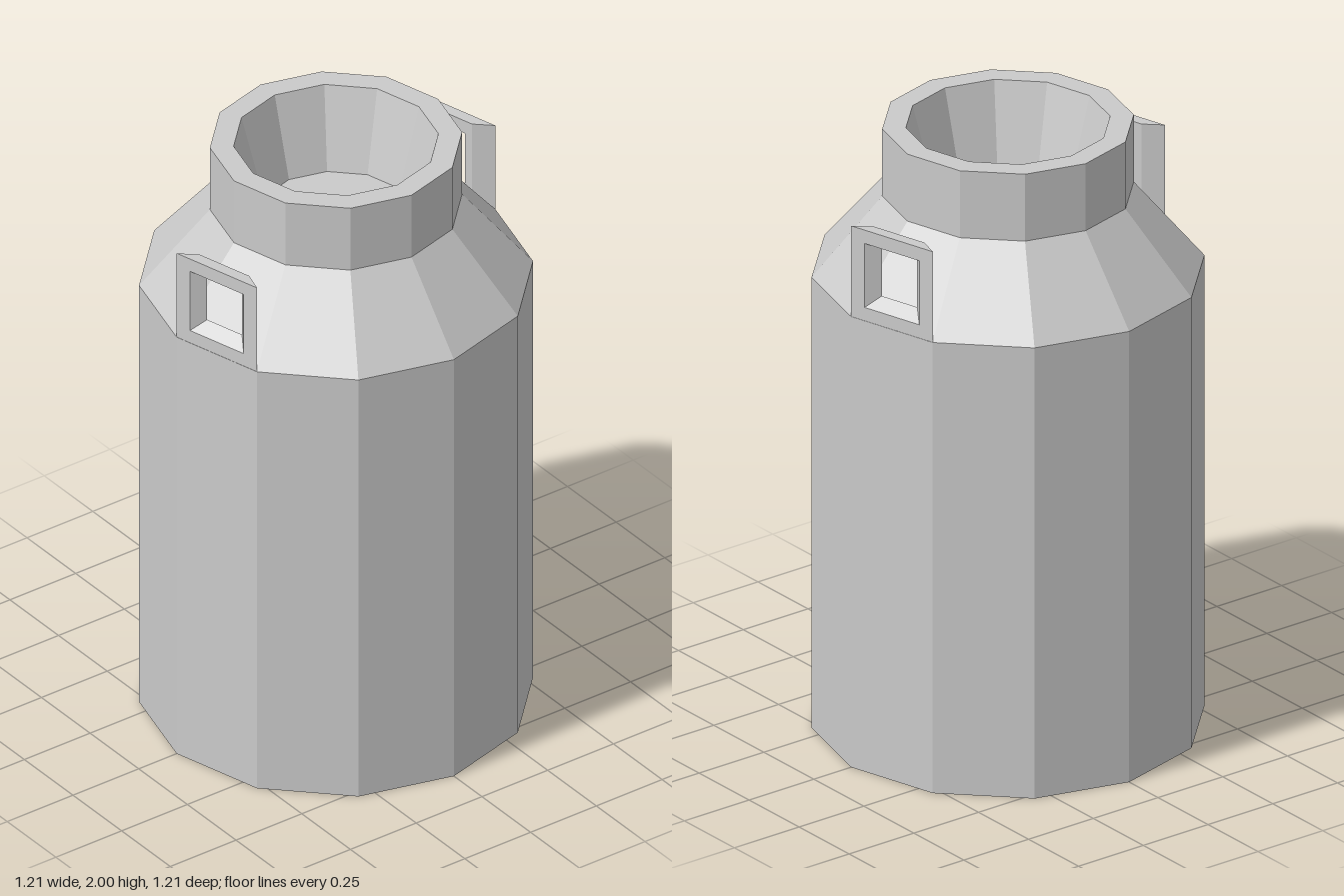
import * as THREE from 'three';

const metal = new THREE.MeshStandardMaterial({ color: 0xcacaca, flatShading: true });
metal.name = 'grey metal';

// Rectangle as four corners, counter-clockwise seen from the front
function rect(halfWidth, bottom, top, z) {
  return [
    [-halfWidth, bottom, z], [halfWidth, bottom, z],
    [halfWidth, top, z], [-halfWidth, top, z],
  ];
}

// Bevelled frame: four rings joined in a closed loop around the opening
function handleGeometry() {
  const rings = [
    rect(0.157, 1.515, 1.82, 0.585), // front outline
    rect(0.105, 1.56, 1.775, 0.585), // front of the opening
    rect(0.068, 1.595, 1.775, 0.547), // back of the opening
    rect(0.096, 1.55, 1.82, 0.547), // back outline
  ];
  const positions = [];
  rings.forEach((a, r) => {
    const b = rings[(r + 1) % rings.length];
    for (let i = 0; i < 4; i++) {
      const j = (i + 1) % 4;
      positions.push(...a[i], ...a[j], ...b[j], ...a[i], ...b[j], ...b[i]);
    }
  });
  const geometry = new THREE.BufferGeometry();
  geometry.setAttribute('position', new THREE.Float32BufferAttribute(positions, 3));
  geometry.computeVertexNormals();
  return geometry;
}

export function createModel() {
  const model = new THREE.Group();
  model.name = 'milkCan';

  // Twelve-sided can: base, wall, shoulder, neck, rim and tapered mouth
  const profile = [
    [0, 0], [0.606, 0], [0.606, 1.515], [0.388, 1.775],
    [0.388, 2], [0.315, 2], [0.242, 1.73], [0, 1.73],
  ].map(([r, y]) => new THREE.Vector2(r, y));
  const can = new THREE.Mesh(new THREE.LatheGeometry(profile, 12), metal);
  can.name = 'canBody';
  model.add(can);

  // Two opposite handles, each flush with one side of the can
  const geometry = handleGeometry();
  ['frontHandle', 'backHandle'].forEach((name, i) => {
    const handle = new THREE.Mesh(geometry, metal);
    handle.name = name;
    handle.rotation.y = Math.PI / 12 + i * Math.PI;
    model.add(handle);
  });

  return model;
}
